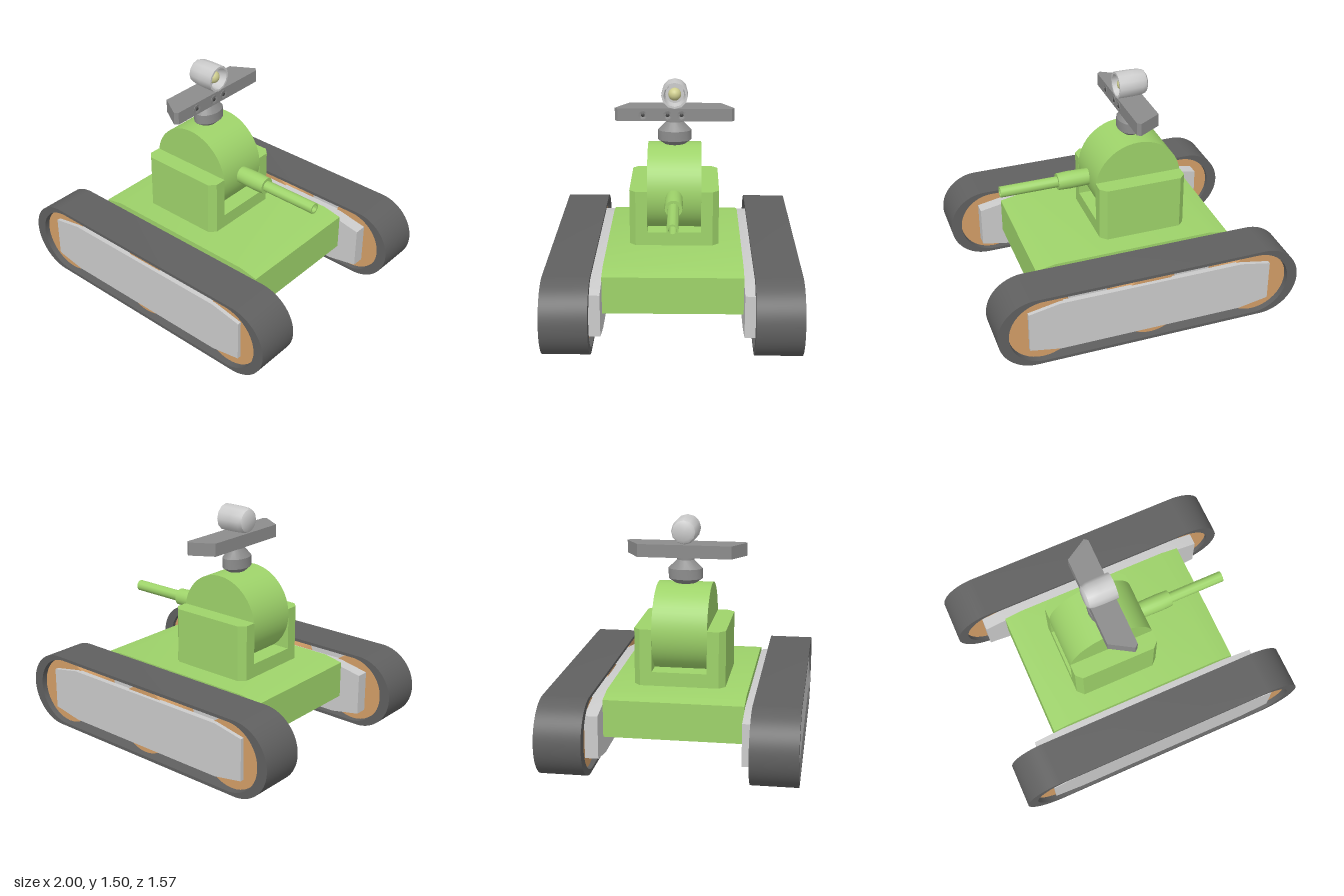
import * as THREE from 'three';
import { toCreasedNormals } from 'three/addons/utils/BufferGeometryUtils.js';

const paint = (color) => new THREE.MeshStandardMaterial({ color });
const green = paint(0x9ed36a), rubber = paint(0x606060), wood = paint(0xd39e67);
const grey = paint(0xcccccc), darkGrey = paint(0x8c8c8c), black = paint(0x444444), glass = paint(0xd0cf90);

const polygon = (points) => new THREE.Shape(points.map(([x, y]) => new THREE.Vector2(x, y)));

// Rounded-end outline of a track, centred on the origin
function stadium(Type, half, r) {
  const s = new Type();
  s.moveTo(-half, -r);
  s.lineTo(half, -r);
  s.absarc(half, 0, r, -Math.PI / 2, Math.PI / 2, false);
  s.lineTo(-half, r);
  s.absarc(-half, 0, r, Math.PI / 2, Math.PI * 1.5, false);
  return s;
}

// Side outline (x, y) extruded from z0 to z1
function slab(shape, z0, z1) {
  const g = new THREE.ExtrudeGeometry(shape, { depth: z1 - z0, bevelEnabled: false, curveSegments: 24 });
  return toCreasedNormals(g.translate(0, 0, z0), 0.5);
}

// Plan outline (x, z) extruded from y0 to y1
function prism(points, y0, y1) {
  const g = new THREE.ExtrudeGeometry(polygon(points.map(([x, z]) => [x, -z])), { depth: y1 - y0, bevelEnabled: false });
  return g.rotateX(-Math.PI / 2).translate(0, y0, 0);
}

function lathe(profile, sides) {
  return toCreasedNormals(new THREE.LatheGeometry(profile.map(([r, y]) => new THREE.Vector2(r, y)), sides), 0.65);
}

// Lathe turned to run along +x; profile holds [radius, x]
const latheX = (profile, sides) => lathe(profile, sides).rotateZ(-Math.PI / 2);

export function createModel() {
  const model = new THREE.Group();
  const add = (name, geometry, material, parent = model) => {
    const mesh = new THREE.Mesh(geometry, material);
    mesh.name = name;
    parent.add(mesh);
    return mesh;
  };

  // Hull with shallow sloped ends
  const hull = polygon([[-0.655, 0.2], [-0.53, 0.18], [0.53, 0.18], [0.655, 0.2],
    [0.655, 0.44], [0.53, 0.465], [-0.53, 0.465], [-0.655, 0.44]]);
  add('hull', slab(hull, -0.437, 0.437), green);

  // Track units: belt, three wheels and a plate on each face
  const plate = polygon([[-0.8, 0.112], [-0.6, 0.075], [0.6, 0.075], [0.8, 0.112],
    [0.8, 0.383], [0.6, 0.422], [-0.6, 0.422], [-0.8, 0.383]]);
  for (const side of [1, -1]) {
    const unit = new THREE.Group();
    unit.name = side > 0 ? 'leftTrack' : 'rightTrack';
    const span = (shape, a, b) => (side > 0 ? slab(shape, a, b) : slab(shape, -b, -a));
    const belt = stadium(THREE.Shape, 0.755, 0.245);
    belt.holes.push(stadium(THREE.Path, 0.705, 0.225));
    add('trackBelt', span(belt, 0.495, 0.785).translate(0, 0.245, 0), rubber, unit);
    for (const x of [-0.708, 0, 0.708]) {
      const wheel = new THREE.CylinderGeometry(0.22, 0.22, 0.23, 40).rotateX(Math.PI / 2);
      add('wheel', wheel, wood, unit).position.set(x, 0.247, side * 0.635);
    }
    add('innerPlate', span(plate, 0.437, 0.53), grey, unit);
    add('outerPlate', span(plate, 0.74, 0.775), grey, unit);
    model.add(unit);
  }

  // Turret cradle: two chamfered cheeks and a floor, open at both ends
  const turret = new THREE.Group();
  turret.name = 'turret';
  model.add(turret);
  for (const s of [1, -1]) {
    const cheek = [[-0.41, 0.175], [-0.41, 0.25], [-0.37, 0.29], [0.13, 0.29], [0.17, 0.25], [0.17, 0.175]];
    add('turretCheek', prism(cheek.map(([x, z]) => [x, s * z]), 0.46, 0.83), green, turret);
  }
  add('turretFloor', new THREE.BoxGeometry(0.58, 0.095, 0.35).translate(-0.12, 0.5075, 0), green, turret);
  const drum = new THREE.CylinderGeometry(0.29, 0.29, 0.35, 48).rotateX(Math.PI / 2);
  add('turretDrum', drum, green, turret).position.set(-0.12, 0.788, 0);

  // Gun: thick sleeve and a hollow barrel
  const gun = latheX([[0.052, 0.1], [0.056, 0.2], [0.058, 0.3], [0.055, 0.375], [0.036, 0.375],
    [0.036, 0.755], [0.025, 0.755], [0.025, 0.6], [0, 0.6]], 20);
  add('gunBarrel', gun, green, turret).position.y = 0.787;

  // Neck, wider across than it is deep
  const neck = lathe([[0, 1.07], [0.06, 1.07], [0.11, 1.105], [0.11, 1.17], [0.055, 1.225], [0.055, 1.255], [0, 1.255]], 16);
  const neckMesh = add('neck', neck, darkGrey);
  neckMesh.scale.x = 0.72;
  neckMesh.position.x = -0.12;

  // Sensor bar with swept-back ends and three small ports
  const bar = [[-0.2, -0.3], [-0.2, 0.3], [-0.055, 0.388], [-0.032, 0.37], [-0.032, -0.37], [-0.055, -0.388]];
  add('sensorBar', prism(bar, 1.247, 1.33), darkGrey);
  for (const z of [0.205, 0.045, -0.045]) {
    const port = latheX([[0.03, -0.01], [0.03, 0.003], [0.021, 0.003], [0.018, 0.001], [0, 0.001]], 16);
    add('sensorPort', port, darkGrey).position.set(-0.032, 1.287, z);
    const lens = new THREE.SphereGeometry(0.012, 12, 8).scale(0.4, 1, 1);
    add('sensorLens', lens, black).position.set(-0.031, 1.287, z);
  }

  // Camera: rounded back, recessed front and a round lens
  const camera = new THREE.Group();
  camera.name = 'cameraHead';
  camera.position.set(-0.125, 1.415, 0);
  model.add(camera);
  add('cameraBody', latheX([[0, -0.1], [0.055, -0.1], [0.074, -0.088], [0.083, -0.06], [0.086, 0],
    [0.086, 0.097], [0.072, 0.097], [0.062, 0.035], [0, 0.035]], 12), grey, camera);
  add('cameraLens', new THREE.SphereGeometry(0.042, 20, 14), glass, camera).position.x = 0.045;

  return model;
}
